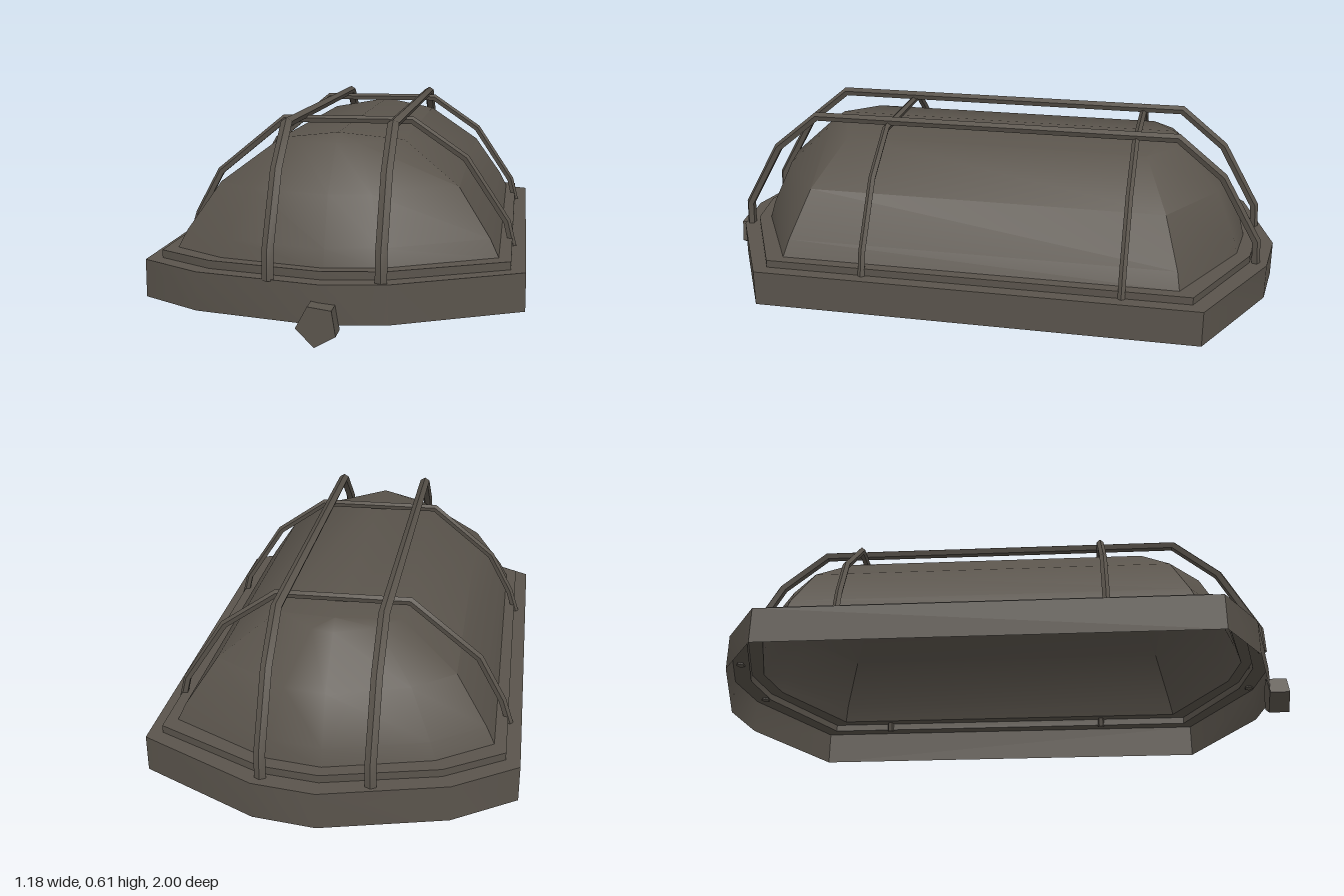
import * as THREE from 'three';
import { toCreasedNormals } from 'three/addons/utils/BufferGeometryUtils.js';

// Skin a list of closed rings, keeping hard corners sharp
function loft(rings, capEnds = false) {
  const n = rings[0].length;
  const index = [];
  for (let r = 0; r < rings.length - 1; r++) {
    for (let i = 0; i < n; i++) {
      const a = r * n + i, b = r * n + (i + 1) % n;
      index.push(a, a + n, b, b, a + n, b + n);
    }
  }
  if (capEnds) {
    const last = (rings.length - 1) * n;
    for (let i = 1; i < n - 1; i++) {
      index.push(0, i, i + 1, last, last + i + 1, last + i);
    }
  }
  const geometry = new THREE.BufferGeometry();
  geometry.setAttribute('position', new THREE.Float32BufferAttribute(rings.flat(2), 3));
  geometry.setIndex(index);
  return toCreasedNormals(geometry, 0.6);
}

// Elongated outline: straight sides with a faceted bulge at each end
const across = [-1, -0.66, 0, 0.34, 1];
const bulge = [0, 0.58, 1, 0.88, 0];
function ring(halfWidth, y, frontCorner, frontTip, backCorner, backTip) {
  const end = (corner, tip) => across.map((f, i) =>
    [f * halfWidth, y, corner + (tip - corner) * bulge[i]]);
  return [...end(frontCorner, frontTip), ...end(backCorner, backTip).reverse()];
}

// Mitred five-sided rod following a flat path; place(u, v, s) puts it in space
function rod(path, width, depth, place) {
  const pts = path.map(p => new THREE.Vector2(...p));
  const rings = pts.map((p, i) => {
    const before = pts[Math.max(i - 1, 0)], after = pts[Math.min(i + 1, pts.length - 1)];
    const d1 = (i ? p.clone().sub(before) : after.clone().sub(p)).normalize();
    const d2 = (i < pts.length - 1 ? after.clone().sub(p) : d1.clone()).normalize();
    const t = d1.clone().add(d2).normalize();
    const mitre = 1 / t.dot(d1);
    const section = [];
    for (let k = 0; k < 5; k++) {
      const angle = k * Math.PI * 2 / 5;
      const out = Math.cos(angle) * depth * 0.55 * mitre;
      section.push(place(p.x - t.y * out, p.y + t.x * out, Math.sin(angle) * width * 0.526));
    }
    return section;
  });
  return loft(rings, true);
}

export function createModel() {
  const group = new THREE.Group();
  const metal = new THREE.MeshStandardMaterial({ color: 0x5a544c, side: THREE.DoubleSide });
  metal.name = 'dark bronze';
  const add = (name, geometry) => {
    const mesh = new THREE.Mesh(geometry, metal);
    mesh.name = name;
    group.add(mesh);
    return mesh;
  };

  // Hollow base tray, open underneath
  const lipFoot = ring(0.545, 0.17, 0.69, 0.89, -0.735, -0.94);
  add('base', loft([
    ring(0.59, 0.05, 0.72, 0.945, -0.77, -1),
    ring(0.59, 0.17, 0.72, 0.945, -0.77, -1),
    lipFoot,
  ]));

  // Raised seat around the cover
  const domeFoot = ring(0.507, 0.195, 0.645, 0.85, -0.69, -0.895);
  add('coverSeat', loft([
    lipFoot,
    ring(0.545, 0.195, 0.69, 0.89, -0.735, -0.94),
    domeFoot,
  ]));

  // Vaulted cover, closing on a straight ridge
  add('cover', loft([
    domeFoot,
    ring(0.48, 0.25, 0.63, 0.835, -0.68, -0.88),
    ring(0.38, 0.4, 0.58, 0.77, -0.63, -0.815),
    ring(0.2, 0.535, 0.5, 0.62, -0.55, -0.67),
    ring(0, 0.565, 0.58, 0.58, -0.63, -0.63),
  ]));

  // Long guard bars running front to back
  const longPath = [[-0.935, 0.165], [-0.93, 0.25], [-0.805, 0.47], [-0.65, 0.597],
    [0.62, 0.597], [0.773, 0.472], [0.897, 0.25], [0.9, 0.165]];
  for (const x of [-0.155, 0.178]) {
    add('longGuardBar', rod(longPath, 0.036, 0.028, (u, v, s) => [x + s, v, u]));
  }

  // Guard bars arching from side to side
  const crossPath = [[-0.55, 0.165], [-0.522, 0.252], [-0.443, 0.398], [-0.22, 0.58],
    [0.21, 0.58], [0.387, 0.458], [0.525, 0.25], [0.546, 0.165]];
  for (const z of [0.355, -0.51]) {
    add('crossGuardBar', rod(crossPath, 0.024, 0.024, (u, v, s) => [u, v, z + s]));
  }

  // Five-sided cable inlet on the front
  const inlet = new THREE.Shape([[-0.02, 0.12], [-0.055, 0.055], [0, 0], [0.062, 0.035], [0.05, 0.11]]
    .map(p => new THREE.Vector2(...p)));
  add('cableInlet', new THREE.ExtrudeGeometry(inlet, { depth: 0.07, bevelEnabled: false }))
    .position.z = 0.93;

  return group;
}
